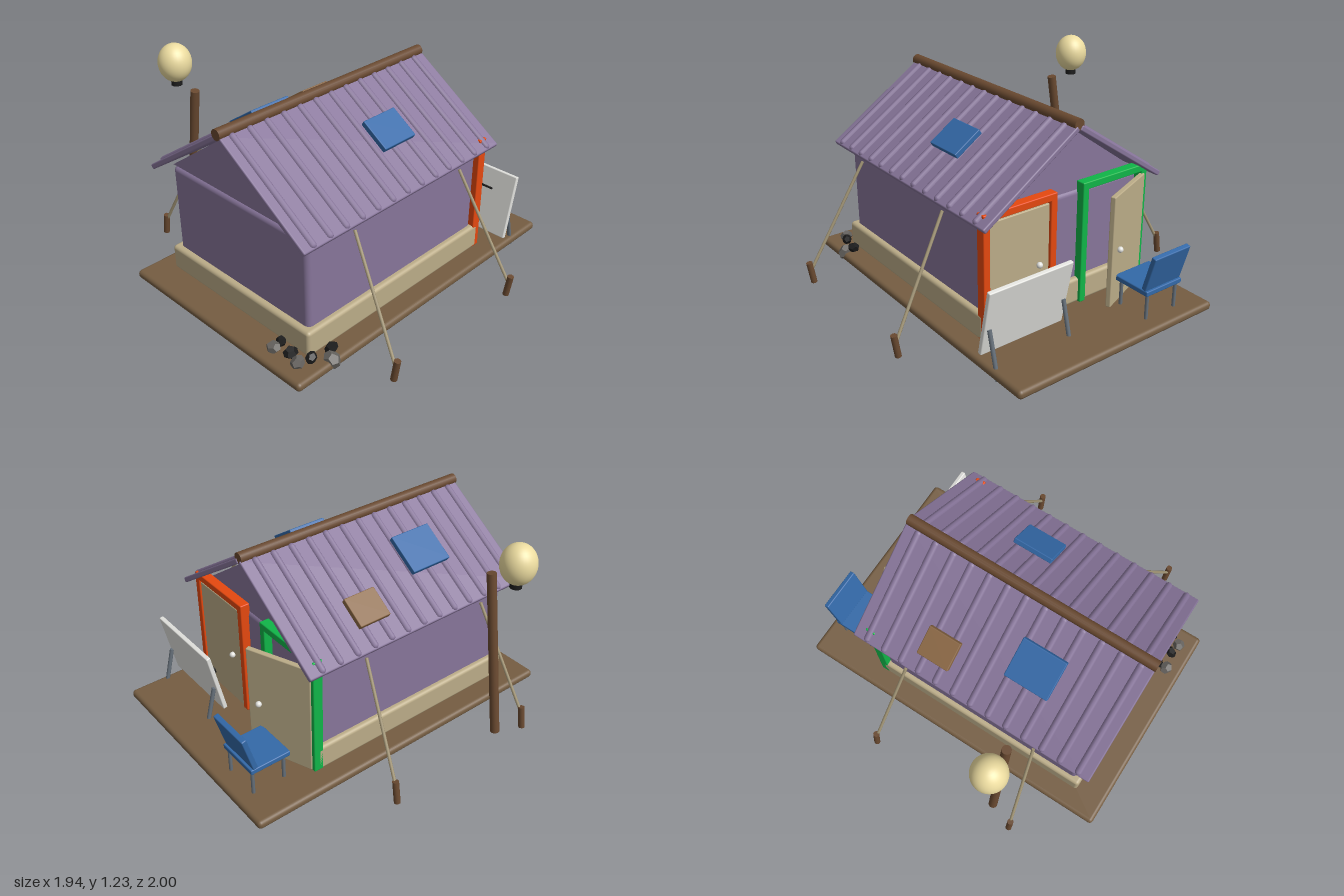
import * as THREE from 'three';
import { RoundedBoxGeometry } from 'three/addons/geometries/RoundedBoxGeometry.js';

const mat = (color) => new THREE.MeshStandardMaterial({ color });
const M = {
  earth: mat(0x755d42), wood: mat(0x694930), patchWood: mat(0x8b6845), canvas: mat(0x87759a),
  tan: mat(0xbbac88), rope: mat(0xa59878), blue: mat(0x3369a8), orange: mat(0xe5480f),
  green: mat(0x10b548), white: mat(0xe2e2de), steel: mat(0x66707a), black: mat(0x1c1c1c),
  stone: mat(0x66635f), bulb: mat(0xecdca0),
};

export function createModel() {
  const root = new THREE.Group();
  root.name = 'tentCabin';

  const add = (parent, name, geo, material, x = 0, y = 0, z = 0) => {
    const m = new THREE.Mesh(geo, material);
    m.name = name;
    m.position.set(x, y, z);
    parent.add(m);
    return m;
  };
  // Rounded box given by its min and max on each axis
  const box = (parent, name, material, x0, x1, y0, y1, z0, z1, r = 0.006) =>
    add(parent, name, new RoundedBoxGeometry(x1 - x0, y1 - y0, z1 - z0, 3, r), material,
      (x0 + x1) / 2, (y0 + y1) / 2, (z0 + z1) / 2);
  // Straight round bar between two points
  const bar = (parent, name, material, a, b, r, sides = 14) => {
    const p = new THREE.Vector3(...a), q = new THREE.Vector3(...b), d = q.clone().sub(p);
    const m = add(parent, name, new THREE.CylinderGeometry(r, r, d.length(), sides), material);
    m.position.copy(p).add(q).multiplyScalar(0.5);
    m.quaternion.setFromUnitVectors(new THREE.Vector3(0, 1, 0), d.normalize());
    return m;
  };
  const group = (name, x, y, z) => {
    const g = new THREE.Group();
    g.name = name;
    g.position.set(x, y, z);
    root.add(g);
    return g;
  };

  // Ground deck, footing and walls
  box(root, 'deck', M.earth, -0.66, 0.675, 0.02, 0.07, -1, 0.995, 0.022);
  box(root, 'footing', M.tan, -0.54, 0.562, 0.065, 0.215, -0.55, 0.82, 0.02);
  box(root, 'walls', M.canvas, -0.51, 0.53, 0.1, 0.73, -0.52, 0.785, 0.03);

  // Gable block under the roof
  const tri = new THREE.Shape([
    new THREE.Vector2(-0.52, 0.725), new THREE.Vector2(0.53, 0.725), new THREE.Vector2(0.005, 1.1)]);
  add(root, 'gables', new THREE.ExtrudeGeometry(tri, { depth: 1.28, bevelEnabled: false }),
    M.canvas, 0, 0, -0.51);

  // Roof halves with ribs and patches; local x runs along the slope
  const pitch = 0.593;
  const patches = {
    1: [[0.35, -0.005, 0.19, 0.235, M.blue]],
    [-1]: [[0.31, 0.35, 0.23, 0.26, M.blue], [0.49, -0.148, 0.17, 0.195, M.patchWood]],
  };
  for (const s of [-1, 1]) {
    const half = group(s > 0 ? 'roofLeft' : 'roofRight', 0.005, 1.1, 0);
    half.rotation.z = -s * pitch;
    add(half, 'roofPanel', new RoundedBoxGeometry(0.7, 0.03, 1.487, 2, 0.008), M.canvas,
      s * 0.35, 0.015, 0.123);
    for (let i = 0; i < 13; i++) {
      const rib = add(half, 'roofRib', new THREE.CapsuleGeometry(0.02, 0.65, 4, 10), M.canvas,
        s * 0.35, 0.025, 0.795 - i * 0.111);
      rib.rotation.z = Math.PI / 2;
    }
    for (const [u, z, len, wide, material] of patches[s])
      add(half, 'roofPatch', new RoundedBoxGeometry(len, 0.032, wide, 2, 0.005), material,
        s * u, 0.058, z);
  }
  bar(root, 'ridgePole', M.wood, [0.007, 1.13, -0.615], [0.007, 1.13, 0.87], 0.031, 16);

  // Door frames on the back wall
  const frame = (name, material, x0, x1) => {
    const g = group(name, 0, 0, 0);
    box(g, 'post', material, x0, x0 + 0.04, 0.07, 0.775, -0.568, -0.51);
    box(g, 'post', material, x1 - 0.04, x1, 0.07, 0.775, -0.568, -0.51);
    box(g, 'lintel', material, x0, x1, 0.735, 0.777, -0.568, -0.51);
  };
  frame('orangeFrame', M.orange, 0.095, 0.56);
  frame('greenFrame', M.green, -0.54, -0.08);

  // Closed door, and a door standing ajar; the hinge is at local x = 0
  const door = (name, x, z, dir, angle) => {
    const g = group(name, x, 0, z);
    g.rotation.y = angle;
    const c = dir * 0.19;
    box(g, 'doorPanel', M.tan, c - 0.19, c + 0.19, 0.075, 0.725, -0.015, 0.015);
    add(g, 'knob', new THREE.SphereGeometry(0.017, 16, 12), M.white, dir * 0.31, 0.4, -0.026);
  };
  door('closedDoor', 0.52, -0.545, -1, 0);
  door('openDoor', -0.515, -0.56, 1, 0.38);

  // Guy ropes and pegs
  for (const s of [-1, 1]) {
    for (const [z0, z1] of [[0.535, 0.6], [-0.275, -0.338]]) {
      const cx = s > 0 ? 0.94 : -0.92;
      bar(root, 'guyRope', M.rope, [0.005 + s * 0.595, 0.71, z0], [cx, 0.1, z1], 0.009, 8);
      bar(root, 'peg', M.wood, [cx - 0.01, 0.02, z1], [cx + 0.01, 0.15, z1], 0.018);
    }
  }

  // Leaning post and round lamp beside it
  bar(root, 'leaningPost', M.wood, [-0.865, 0.025, 0.45], [-0.715, 0.99, 0.45], 0.026);
  add(root, 'lampGlobe', new THREE.SphereGeometry(0.096, 32, 20), M.bulb, -0.875, 1.115, 0.455)
    .scale.y = 1.17;
  bar(root, 'lampCap', M.black, [-0.875, 0.98, 0.455], [-0.875, 1.03, 0.455], 0.032, 16);

  // Chair
  const chair = group('chair', -0.355, 0, 0);
  box(chair, 'seat', M.blue, -0.13, 0.13, 0.215, 0.245, -0.92, -0.68);
  const back = add(chair, 'backrest', new RoundedBoxGeometry(0.26, 0.22, 0.03, 2, 0.006), M.blue,
    0, 0.35, -0.92);
  back.rotation.x = -0.27;
  for (const x of [-0.105, 0.105])
    for (const z of [-0.9, -0.71])
      bar(chair, 'chairLeg', M.steel, [x, 0.015, z], [x, 0.22, z], 0.01, 10);

  // Leaning white board with a dark handle and two struts
  const board = group('board', 0.412, 0.297, -0.715);
  board.rotation.x = -0.21;
  box(board, 'boardPanel', M.white, -0.26, 0.26, -0.195, 0.195, -0.013, 0.013);
  box(board, 'handleRod', M.black, -0.24, 0.12, 0.07, 0.08, 0.012, 0.024, 0.002);
  box(board, 'handleGrip', M.black, -0.24, -0.02, 0.06, 0.09, 0.012, 0.028, 0.004);
  for (const x of [0.178, 0.645])
    bar(root, 'boardStrut', M.steel, [x, 0.005, -0.79], [x, 0.26, -0.725], 0.012, 10);

  // Stones and coals at the front corner
  const rocks = [
    [0.39, 0.085, 0.9, 0.042, M.stone], [0.56, 0.085, 0.895, 0.042, M.stone],
    [0.65, 0.065, 0.745, 0.05, M.stone], [0.49, 0.095, 0.875, 0.04, M.black],
    [0.61, 0.095, 0.71, 0.04, M.black], [0.59, 0.095, 0.83, 0.035, M.black],
    [0.39, 0.09, 0.85, 0.032, M.black],
  ];
  rocks.forEach(([x, y, z, r, material], i) => {
    const rough = material.clone();
    rough.flatShading = true;
    const m = add(root, 'rock', new THREE.DodecahedronGeometry(r), rough, x, y, z);
    m.scale.set(1, 0.75, 0.9);
    m.rotation.set(i * 0.4, i * 1.3, i * 0.3);
  });

  return root;
}
